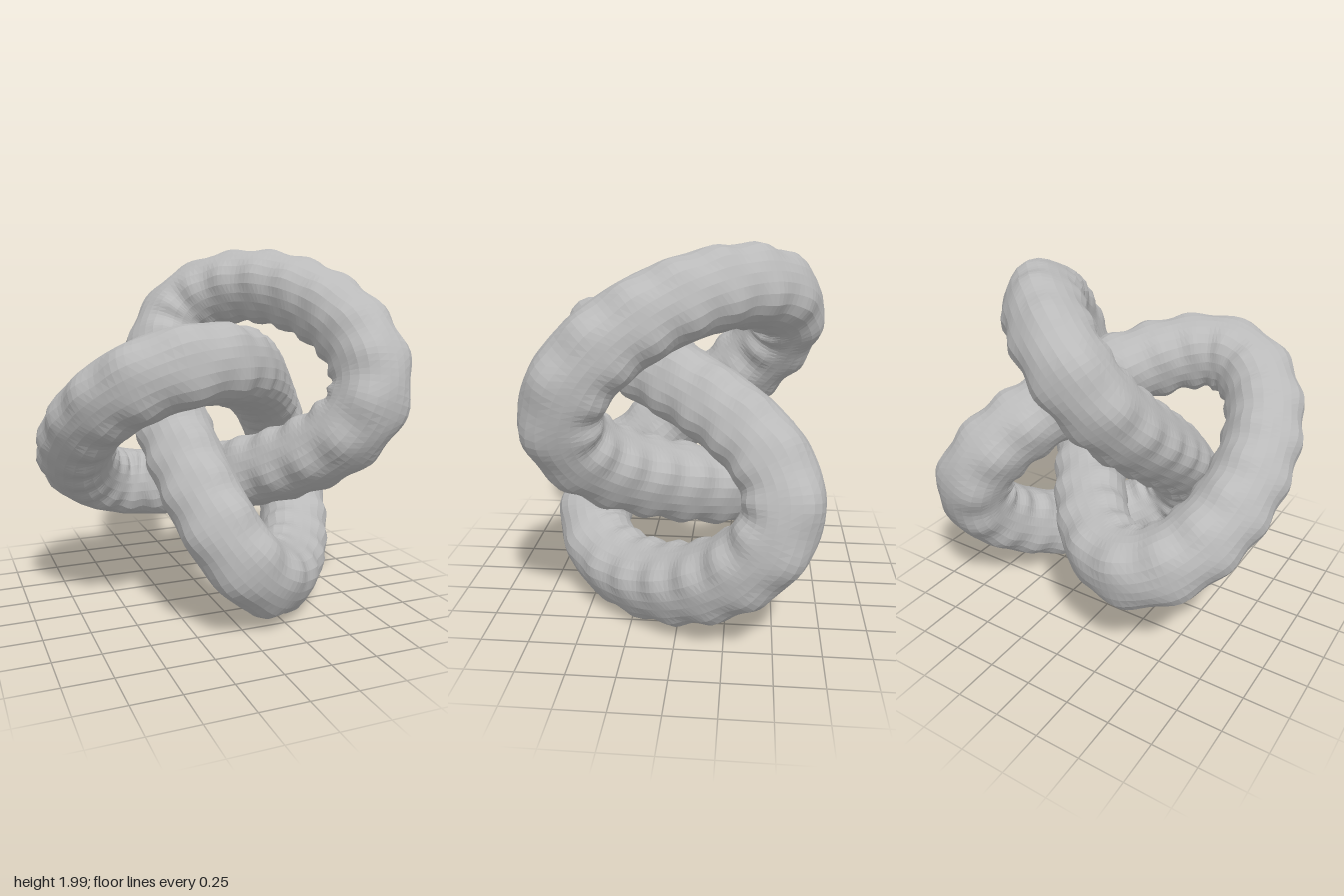
import * as THREE from 'three';

// Closed trefoil centreline: three rounded lobes about the z axis
class TrefoilCurve extends THREE.Curve {
  getPoint(u, target = new THREE.Vector3()) {
    const t = u * Math.PI * 2;
    return target.set(
      0.115 - 0.58 * Math.cos(2 * t) - 0.233 * Math.cos(t) - 0.035 * Math.cos(5 * t),
      1 + 0.58 * Math.sin(2 * t) - 0.233 * Math.sin(t) + 0.035 * Math.sin(5 * t),
      0.53 * Math.sin(3 * t)
    );
  }
}

export function createModel() {
  const group = new THREE.Group();
  group.name = 'knotSculpture';
  const stone = new THREE.MeshStandardMaterial({ color: 0xbababa, flatShading: true });
  stone.name = 'stone grey';

  const along = 384, around = 24, bumpsAlong = 48, bumpsAround = 4;
  const geometry = new THREE.TubeGeometry(new TrefoilCurve(), along, 0.2, around, true);

  // Raise rows of small rounded knobs along the tube
  const pos = geometry.attributes.position, nor = geometry.attributes.normal;
  const p = new THREE.Vector3(), n = new THREE.Vector3();
  const hump = (a) => (1 + Math.cos(a)) / 2;
  for (let i = 0; i <= along; i++) {
    for (let j = 0; j <= around; j++) {
      const k = i * (around + 1) + j;
      const u = (i / along) * Math.PI * 2, v = (j / around) * Math.PI * 2;
      const lift = 0.024 * hump(bumpsAlong * u) * hump(bumpsAround * v);
      p.fromBufferAttribute(pos, k);
      n.fromBufferAttribute(nor, k);
      p.addScaledVector(n, lift);
      pos.setXYZ(k, p.x, p.y, p.z);
    }
  }
  geometry.computeVertexNormals();

  const knot = new THREE.Mesh(geometry, stone);
  knot.name = 'knottedTube';
  group.add(knot);
  return group;
}
